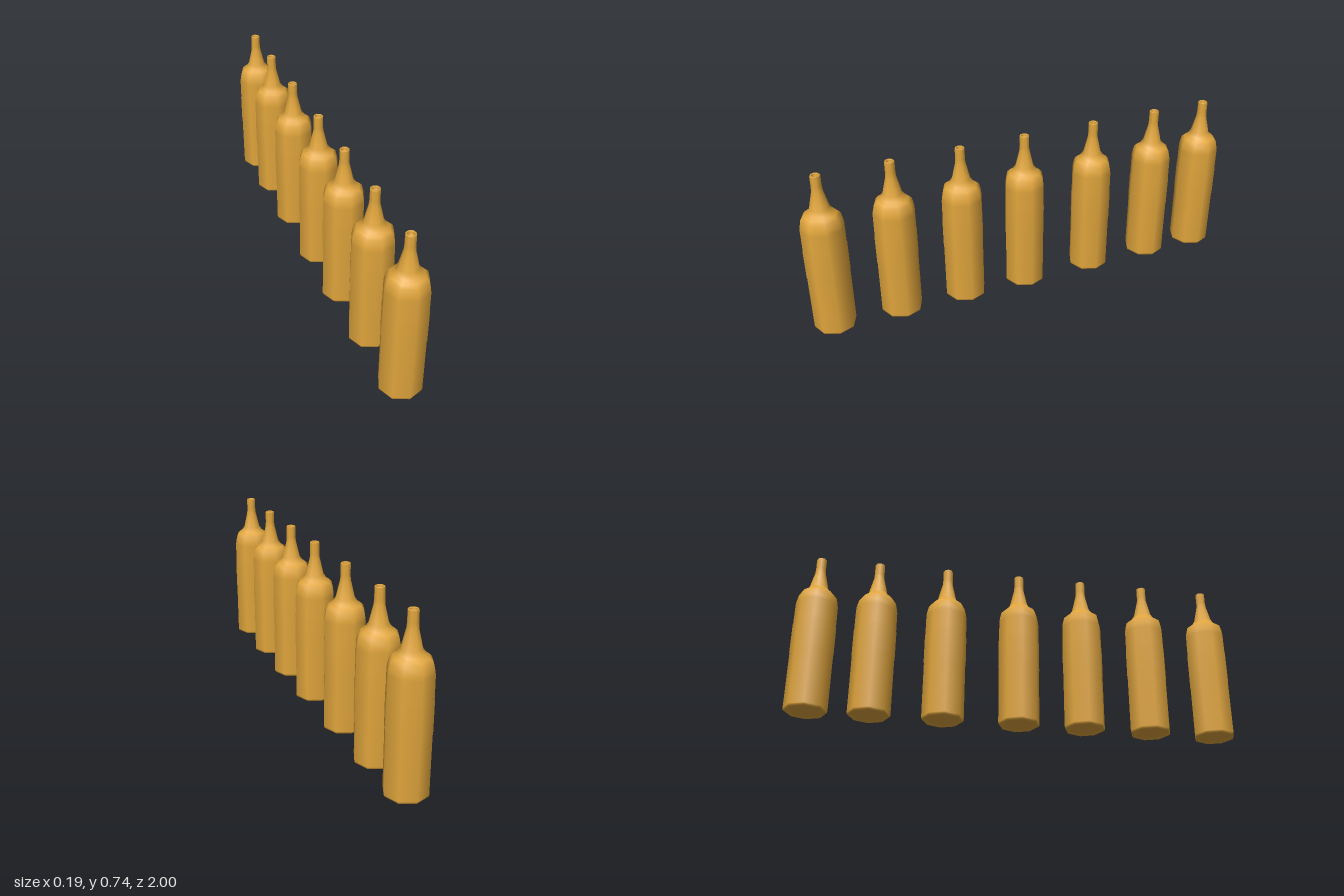
import * as THREE from 'three';

// Bottle outline as [radius, height], from the underside, up the wall and into the mouth
const outline = [
  [0, 0.014], [0.066, 0.012], [0.076, 0.002], [0.084, 0], [0.09, 0.004], [0.092, 0.012],
  [0.092, 0.264], [0.0935, 0.268], [0.0935, 0.403], [0.092, 0.407],
  [0.0915, 0.5], [0.089, 0.519], [0.082, 0.549], [0.07, 0.56], [0.054, 0.572], [0.042, 0.591],
  [0.031, 0.637], [0.0235, 0.668], [0.022, 0.69], [0.022, 0.736], [0.02, 0.74],
  [0.016, 0.74], [0.014, 0.736], [0.014, 0.715], [0, 0.715],
];

// Uneven spacing along the row
const rowZ = [0.908, 0.605, 0.301, 0.004, -0.331, -0.645, -0.908];

export function createModel() {
  const group = new THREE.Group();
  group.name = 'bottleRow';

  // Eight-sided, smooth-shaded bottle shared by the whole row
  const geometry = new THREE.LatheGeometry(outline.map(([r, y]) => new THREE.Vector2(r, y)), 8);
  const material = new THREE.MeshStandardMaterial({ color: 0xe0a53c });

  rowZ.forEach((z, i) => {
    const bottle = new THREE.Mesh(geometry, material);
    bottle.name = `bottle${i + 1}`;
    bottle.position.z = z;
    group.add(bottle);
  });
  return group;
}
